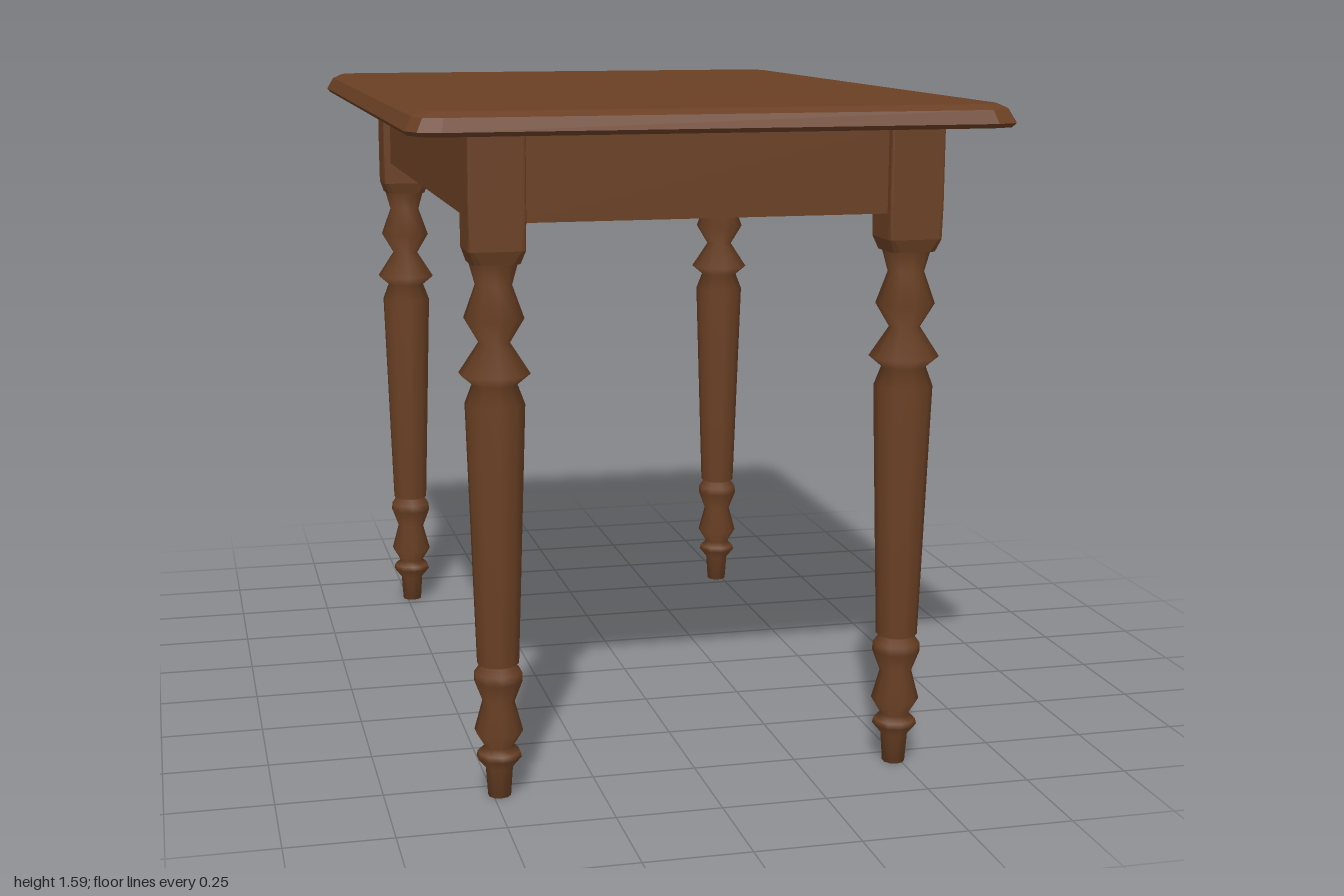
import * as THREE from 'three';

const wood = new THREE.MeshStandardMaterial({ color: 0x6a4024 });
wood.name = 'brown wood';

function add(parent, name, geometry, x = 0, y = 0, z = 0) {
  const mesh = new THREE.Mesh(geometry, wood);
  mesh.name = name;
  mesh.position.set(x, y, z);
  parent.add(mesh);
  return mesh;
}

// Outline of a rectangle with softly cut corners, counter-clockwise seen from above
function outline(hx, hz, r, y) {
  const points = [];
  for (let c = 0; c < 4; c++) {
    const sx = c === 0 || c === 3 ? 1 : -1;
    const sz = c < 2 ? -1 : 1;
    for (let i = 0; i <= 2; i++) {
      const a = (c + i / 2) * Math.PI / 2;
      points.push([sx * (hx - r) + r * Math.cos(a), y, sz * (hz - r) - r * Math.sin(a)]);
    }
  }
  return points;
}

// Joins outlines from bottom to top and caps both ends, with flat faces
function loft(rings) {
  const n = rings[0].length, pos = [];
  const tri = (a, b, c) => pos.push(...a, ...b, ...c);
  for (let k = 0; k < rings.length - 1; k++) {
    for (let i = 0; i < n; i++) {
      const j = (i + 1) % n, lo = rings[k], hi = rings[k + 1];
      tri(lo[i], lo[j], hi[j]);
      tri(lo[i], hi[j], hi[i]);
    }
  }
  const top = rings[rings.length - 1], bottom = rings[0];
  for (let i = 1; i < n - 1; i++) {
    tri(top[0], top[i], top[i + 1]);
    tri(bottom[0], bottom[i + 1], bottom[i]);
  }
  const g = new THREE.BufferGeometry();
  g.setAttribute('position', new THREE.Float32BufferAttribute(pos, 3));
  g.computeVertexNormals();
  return g;
}

export function createModel() {
  const table = new THREE.Group();
  table.name = 'table';

  // Table top with a bevelled upper edge
  add(table, 'tableTop', loft([
    outline(0.685, 0.99, 0.07, 1.54),
    outline(0.692, 1.0, 0.07, 1.55),
    outline(0.675, 0.982, 0.06, 1.58),
    outline(0.65, 0.96, 0.05, 1.592),
  ]));

  // Apron boards between the legs
  for (const s of [1, -1]) {
    add(table, s > 0 ? 'frontApron' : 'backApron', new THREE.BoxGeometry(0.9, 0.2, 0.02), 0, 1.44, s * 0.84);
    add(table, s > 0 ? 'leftApron' : 'rightApron', new THREE.BoxGeometry(0.02, 0.2, 1.56), s * 0.52, 1.44, 0);
  }

  // Turned legs: radius and height pairs from foot to block
  const profile = [
    [0, 0], [0.027, 0], [0.032, 0.07], [0.053, 0.095], [0.05, 0.108], [0.034, 0.122],
    [0.057, 0.16], [0.038, 0.23], [0.057, 0.28], [0.056, 0.3], [0.043, 0.318], [0.049, 0.322],
    [0.055, 0.5], [0.069, 0.93], [0.052, 0.975], [0.082, 1.0], [0.036, 1.07],
    [0.069, 1.125], [0.042, 1.2], [0.056, 1.25], [0.056, 1.27],
  ].map(([r, y]) => new THREE.Vector2(r, y));
  const turning = new THREE.LatheGeometry(profile, 10);
  const block = loft([
    outline(0.056, 0.056, 0.02, 1.25),
    outline(0.065, 0.065, 0.012, 1.28),
    outline(0.065, 0.065, 0.006, 1.36),
    outline(0.065, 0.065, 0.006, 1.545),
  ]);
  for (const sx of [1, -1]) {
    for (const sz of [1, -1]) {
      const leg = new THREE.Group();
      leg.name = (sz > 0 ? 'front' : 'back') + (sx > 0 ? 'Left' : 'Right') + 'Leg';
      leg.position.set(sx * 0.485, 0, sz * 0.805);
      add(leg, 'turnedLeg', turning);
      add(leg, 'legBlock', block);
      table.add(leg);
    }
  }
  return table;
}
